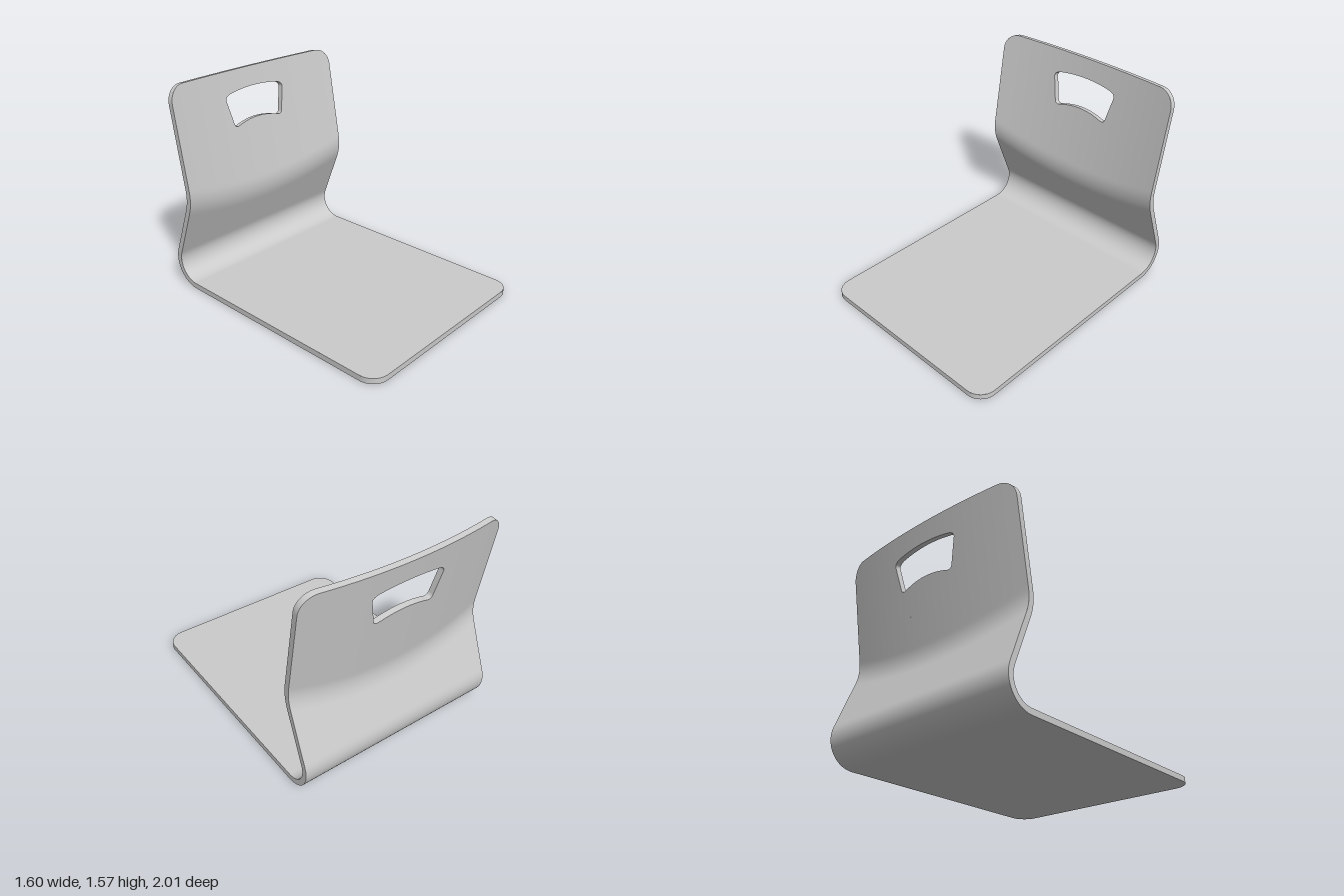
import * as THREE from 'three';

const T = 0.043, HALF = 0.8, R = 0.13;            // sheet thickness, half width, corner radius
const SLOPE = 0.39, PHI = Math.atan(SLOPE);       // lean of the lower back
const RI = 0.157, CY = 0.2, CZ = -0.797;          // inside of the seat bend
const V0 = CY + RI * Math.sin(PHI);               // the back starts here
const ARC = RI * (Math.PI / 2 + PHI);
const VSEAT = V0 - ARC, VFRONT = VSEAT - (1 - CZ);
const SEAM = 0.95, TOP = 1.578;

const bulge = (x) => 1 - (x / HALF) ** 2;

// Depth of the back: straight lower plane blended into a hollow upper plane
function backZ(x, y) {
  const lower = CZ - RI * Math.cos(PHI) + SLOPE * (y - V0);
  const upper = -0.777 + 0.014 - 0.17 * (y - 0.74) - 0.065 * bulge(x);
  const k = 0.055, h = Math.max(k - Math.abs(lower - upper), 0) / k;
  return Math.min(lower, upper) - h * h * k / 4;
}

// Bends a point of the flat pattern (x, v); depth 0 is the sitting face, 1 the rear face
function bend(x, v, depth) {
  const t = T * depth;
  if (v <= VSEAT) return [x, T - t, CZ + VSEAT - v];
  if (v < V0) {
    const a = (v - VSEAT) / RI;
    return [x, CY - (RI + t) * Math.cos(a), CZ - (RI + t) * Math.sin(a)];
  }
  const ramp = THREE.MathUtils.clamp((v - 0.8) / 0.15, 0, 1);
  const y = v - 0.012 * bulge(x) * ramp;
  const s = (backZ(x, y + 1e-3) - backZ(x, y - 1e-3)) / 2e-3, n = Math.hypot(s, 1);
  return [x, y + t * s / n, backZ(x, y) - t / n];
}

// Surface through equal-length rows of 3D points
function loft(rows, flip) {
  const w = rows[0].length, index = [];
  for (let j = 0; j < rows.length - 1; j++) {
    for (let i = 0; i < w - 1; i++) {
      const a = j * w + i, b = a + 1, c = a + w + 1, d = a + w;
      if (flip) index.push(a, c, b, a, d, c);
      else index.push(a, b, c, a, c, d);
    }
  }
  const g = new THREE.BufferGeometry();
  g.setAttribute('position', new THREE.Float32BufferAttribute(rows.flat(2), 3));
  g.setIndex(index);
  g.computeVertexNormals();
  return g;
}

// Pattern outline with rounded top corners, counter-clockwise from the bottom centre
function outline(bottom, roundBottom) {
  const s = new THREE.Shape(), c = HALF - R, q = Math.PI / 2;
  s.moveTo(0, bottom);
  if (roundBottom) s.lineTo(c, bottom).absarc(c, bottom + R, R, -q, 0);
  else s.lineTo(HALF, bottom);
  s.lineTo(HALF, TOP - R).absarc(c, TOP - R, R, 0, q);
  s.lineTo(-c, TOP).absarc(-c, TOP - R, R, q, 2 * q);
  if (roundBottom) s.lineTo(-HALF, bottom + R).absarc(-c, bottom + R, R, 2 * q, 3 * q);
  else s.lineTo(-HALF, bottom);
  s.lineTo(0, bottom);
  return s;
}

// Hand hole: arched top and bottom, sides tapering down
function handHole() {
  const s = new THREE.Shape();
  s.moveTo(0, 1.187);
  s.quadraticCurveTo(0.1, 1.187, 0.2, 1.155);
  s.quadraticCurveTo(0.235, 1.145, 0.245, 1.175);
  s.lineTo(0.287, 1.36);
  s.quadraticCurveTo(0.292, 1.39, 0.245, 1.405);
  s.quadraticCurveTo(0.12, 1.428, 0, 1.428);
  s.quadraticCurveTo(-0.12, 1.428, -0.245, 1.405);
  s.quadraticCurveTo(-0.292, 1.39, -0.287, 1.36);
  s.lineTo(-0.245, 1.175);
  s.quadraticCurveTo(-0.235, 1.145, -0.2, 1.155);
  s.quadraticCurveTo(-0.1, 1.187, 0, 1.187);
  return s;
}

export function createModel() {
  const group = new THREE.Group();
  group.name = 'legless chair';
  const material = new THREE.MeshStandardMaterial({ color: 0xcccccc });
  const add = (name, geometry) => {
    const mesh = new THREE.Mesh(geometry, material);
    mesh.name = name;
    group.add(mesh);
  };
  const addFaces = (name, rows) => [0, 1].forEach((depth) => add(
    name + (depth ? 'Rear' : 'Front'),
    loft(rows.map((row) => row.map((p) => bend(p.x, p.y, depth))), depth === 1)));
  const addEdge = (name, points, flip) => add(name,
    loft([1, 0].map((depth) => points.map((p) => bend(p.x, p.y, depth))), flip));

  // Seat, bend and lower back: rows across the sheet, narrowed at the front corners
  const rows = [];
  const addRow = (v, half) => rows.push(Array.from({ length: 41 },
    (_, i) => new THREE.Vector2(half * (i / 20 - 1), v)));
  for (let i = 0; i <= 10; i++) {
    const a = i / 10 * Math.PI / 2;
    addRow(VFRONT + R * (1 - Math.cos(a)), HALF - R + R * Math.sin(a));
  }
  for (let i = 0; i <= 18; i++) addRow(VSEAT + ARC * i / 18, HALF);
  for (let i = 1; i <= 40; i++) addRow(V0 + (SEAM - V0) * i / 40, HALF);
  addFaces('seatAndLowerBack', rows);

  // Upper back: rings from the outer outline in to the hand hole
  const N = 200, RINGS = 10;
  const outer = outline(SEAM, false).getSpacedPoints(N);
  const hole = handHole().getSpacedPoints(N);
  for (const x of [-HALF, HALF]) {
    const corner = new THREE.Vector2(x, SEAM);
    outer.reduce((a, b) => (a.distanceTo(corner) < b.distanceTo(corner) ? a : b)).copy(corner);
  }
  addFaces('upperBack', Array.from({ length: RINGS + 1 }, (_, k) =>
    outer.map((p, i) => p.clone().lerp(hole[i], k / RINGS))));

  // Cut edges
  addEdge('outerEdge', outline(VFRONT, true).getSpacedPoints(600), false);
  addEdge('handHoleEdge', hole, true);
  return group;
}
